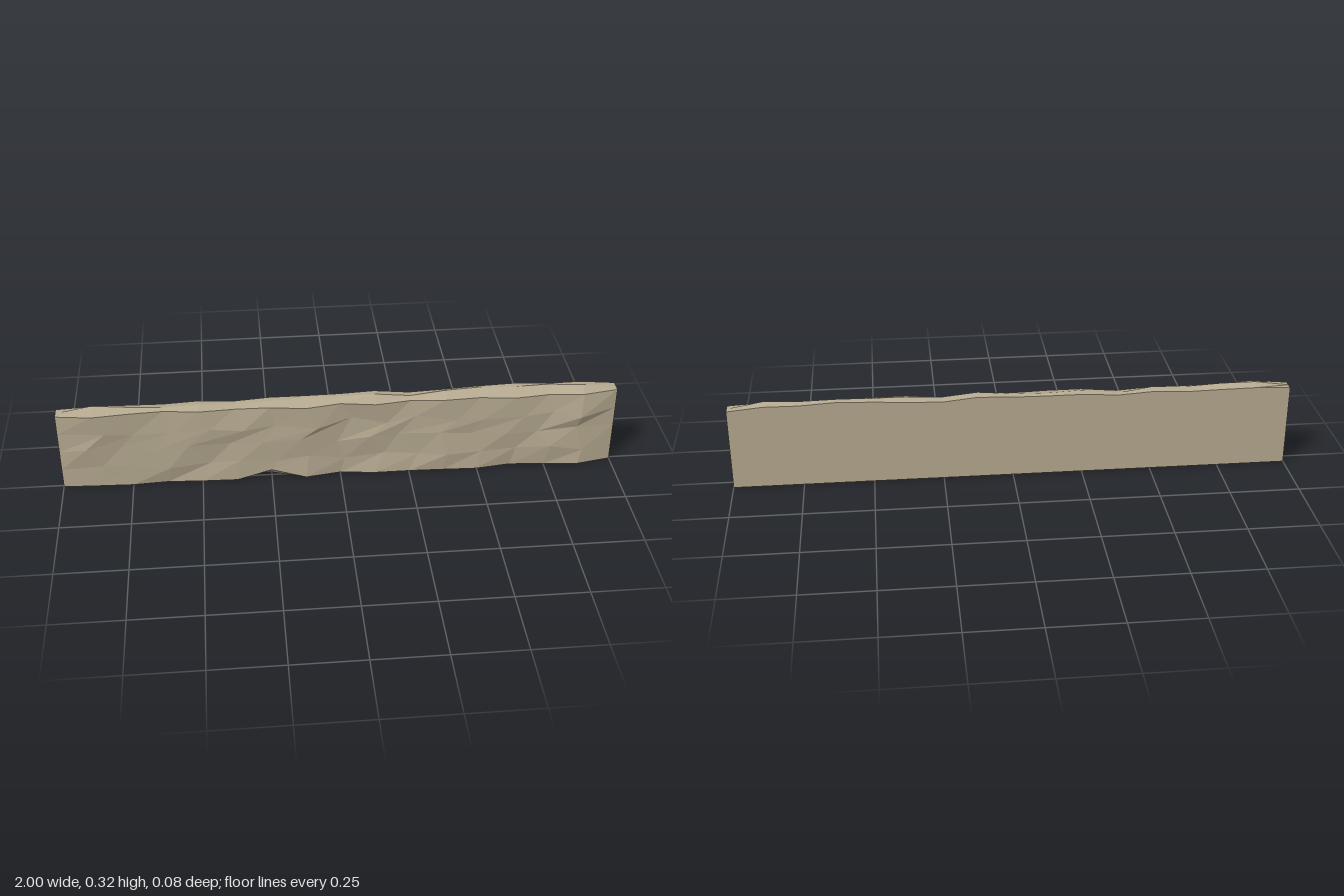
import * as THREE from 'three';

const COLS = 16, ROWS = 4, LAYERS = 2;
const HEIGHT = 0.3, BACK = -0.04, FRONT = 0.008;

// Crest height and front bulge at each column, from x = -1 to x = 1
const crest = [0.3, 0.32, 0.315, 0.308, 0.312, 0.3, 0.311, 0.313, 0.312, 0.32, 0.307, 0.317, 0.32, 0.319, 0.319, 0.318, 0.3];
const bulge = [0.008, 0.027, 0.021, 0.022, 0.02, 0.019, 0.022, 0.029, 0.013, 0.022, 0.021, 0.032, 0.027, 0.025, 0.031, 0.038, 0.008];

// Repeatable value from -1 to 1 for a grid point
function noise(i, j, k) {
  const s = Math.sin(i * 127.1 + j * 311.7 + k * 74.7) * 43758.5453;
  return (s - Math.floor(s)) * 2 - 1;
}

// Roughens one grid point; back, base and ends stay flat
function chisel(i, j, k) {
  const p = new THREE.Vector3(
    -1 + (2 * i) / COLS,
    (HEIGHT * j) / ROWS,
    BACK + ((FRONT - BACK) * k) / LAYERS
  );
  if (i === 0 || i === COLS) return p;
  const isFront = k === LAYERS;
  const isTop = j === ROWS;

  if (isFront) {
    // Staggered rows break the front into irregular facets
    if (!isTop && j > 0) {
      p.x += (j % 2 ? 0.028 : -0.028) + 0.02 * noise(i, j, 1);
      p.y += 0.016 * noise(i, j, 2);
    }
    p.z = bulge[i] - 0.005 + 0.009 * noise(i, j, 3);
    p.z = THREE.MathUtils.clamp(p.z, 0.007, 0.04);
  }
  if (isTop) {
    if (isFront) p.y += 0.005 * noise(i, j, 4) - 0.001;
    else {
      const share = k === 0 ? 0.6 + 0.4 * noise(i, 0, 5) : 1;
      p.y += (crest[i] - HEIGHT) * share;
      if (k === 1) p.z += 0.01 * noise(i, j, 6);
    }
  }
  // Chip out of the lower front edge
  if (i === 6 && j === 0 && isFront) p.y = 0.034;
  // Overhanging knob near the left end
  if (i === 15 && j === 3 && isFront) p.set(0.87, 0.207, 0.041);
  return p;
}

export function createModel() {
  const group = new THREE.Group();
  group.name = 'stoneSlab';

  const box = new THREE.BoxGeometry(2, HEIGHT, FRONT - BACK, COLS, ROWS, LAYERS);
  const pos = box.attributes.position;
  for (let n = 0; n < pos.count; n++) {
    const i = Math.round(((pos.getX(n) + 1) / 2) * COLS);
    const j = Math.round((pos.getY(n) / HEIGHT + 0.5) * ROWS);
    const k = Math.round((pos.getZ(n) / (FRONT - BACK) + 0.5) * LAYERS);
    const p = chisel(i, j, k);
    pos.setXYZ(n, p.x, p.y, p.z);
  }
  const geometry = box.toNonIndexed();
  geometry.computeVertexNormals();

  const slab = new THREE.Mesh(
    geometry,
    new THREE.MeshStandardMaterial({ color: 0xb5a990, flatShading: true })
  );
  slab.name = 'roughHewnSlab';
  group.add(slab);
  return group;
}
